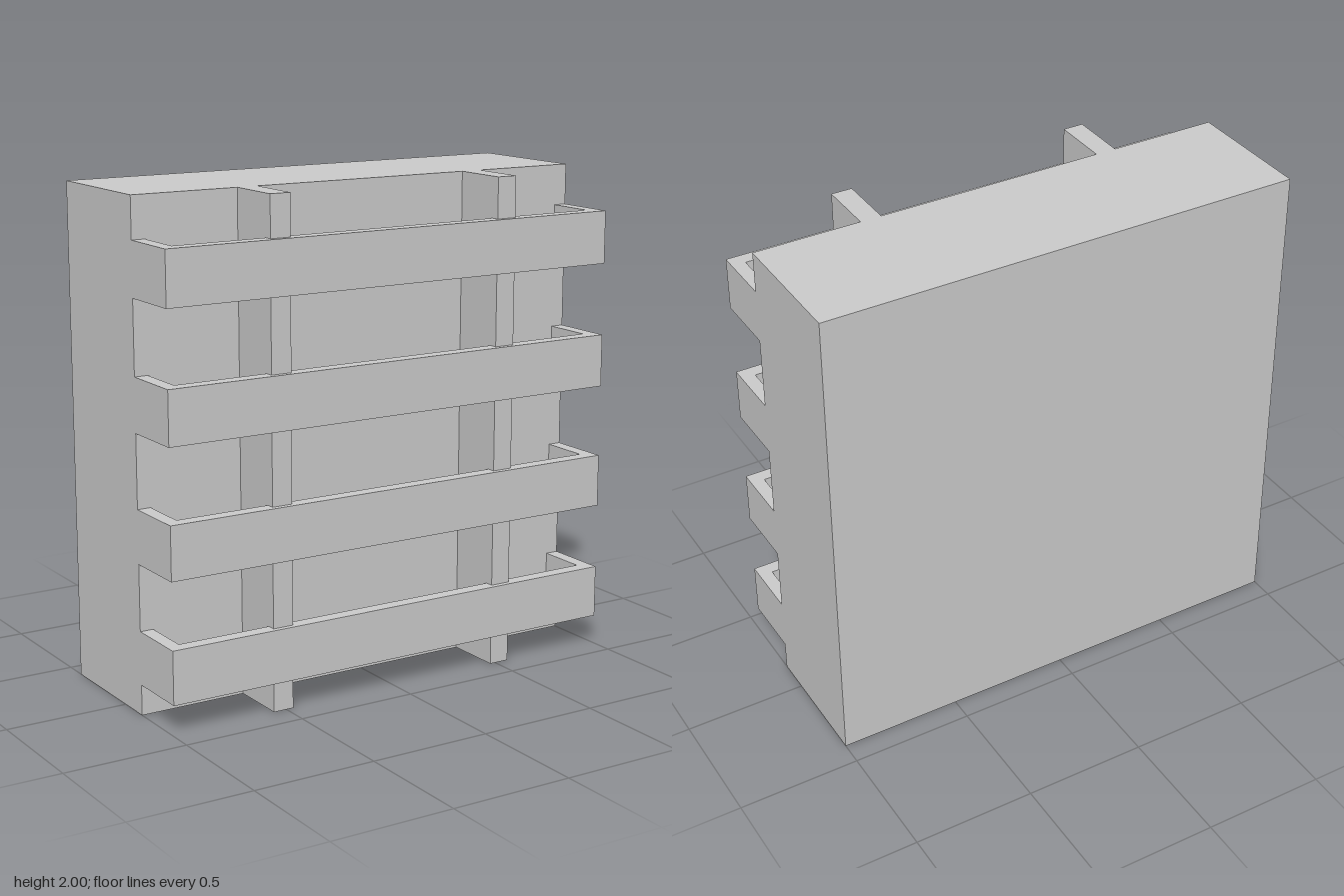
import * as THREE from 'three';

const BACK = -0.404, WALL = 0.14, RIB = 0.382, FRONT = 0.404;

export function createModel() {
  const model = new THREE.Group();
  const material = new THREE.MeshStandardMaterial({ color: 0xcccccc, flatShading: true });

  const add = (name, geometry) => {
    const mesh = new THREE.Mesh(geometry, material);
    mesh.name = name;
    model.add(mesh);
    return mesh;
  };

  // Box given by its minimum and maximum corners
  const addBox = (name, [x0, y0, z0], [x1, y1, z1]) =>
    add(name, new THREE.BoxGeometry(x1 - x0, y1 - y0, z1 - z0))
      .position.set((x0 + x1) / 2, (y0 + y1) / 2, (z0 + z1) / 2);

  // Solid block behind the lattice
  addBox('wallBlock', [-1, 0, BACK], [1, 2, WALL]);

  // Full-height upright ribs
  [['rightRib', -0.512], ['leftRib', 0.519]].forEach(([name, x]) =>
    addBox(name, [x - 0.043, 0, WALL], [x + 0.043, 2, RIB]));

  // Horizontal bands: U-shaped in plan, with end returns meeting the wall
  const plan = new THREE.Shape([
    [-1, WALL], [-1, FRONT], [1, FRONT], [1, WALL],
    [0.945, WALL], [0.945, 0.347], [-0.945, 0.347], [-0.945, WALL],
  ].map(([x, z]) => new THREE.Vector2(x, -z)));
  const bandGeometry = new THREE.ExtrudeGeometry(plan, { depth: 0.215, bevelEnabled: false });
  bandGeometry.rotateX(-Math.PI / 2);
  [0.122, 0.603, 1.111, 1.62].forEach((y, i) => {
    add(`band${i + 1}`, bandGeometry).position.y = y;
  });

  return model;
}
